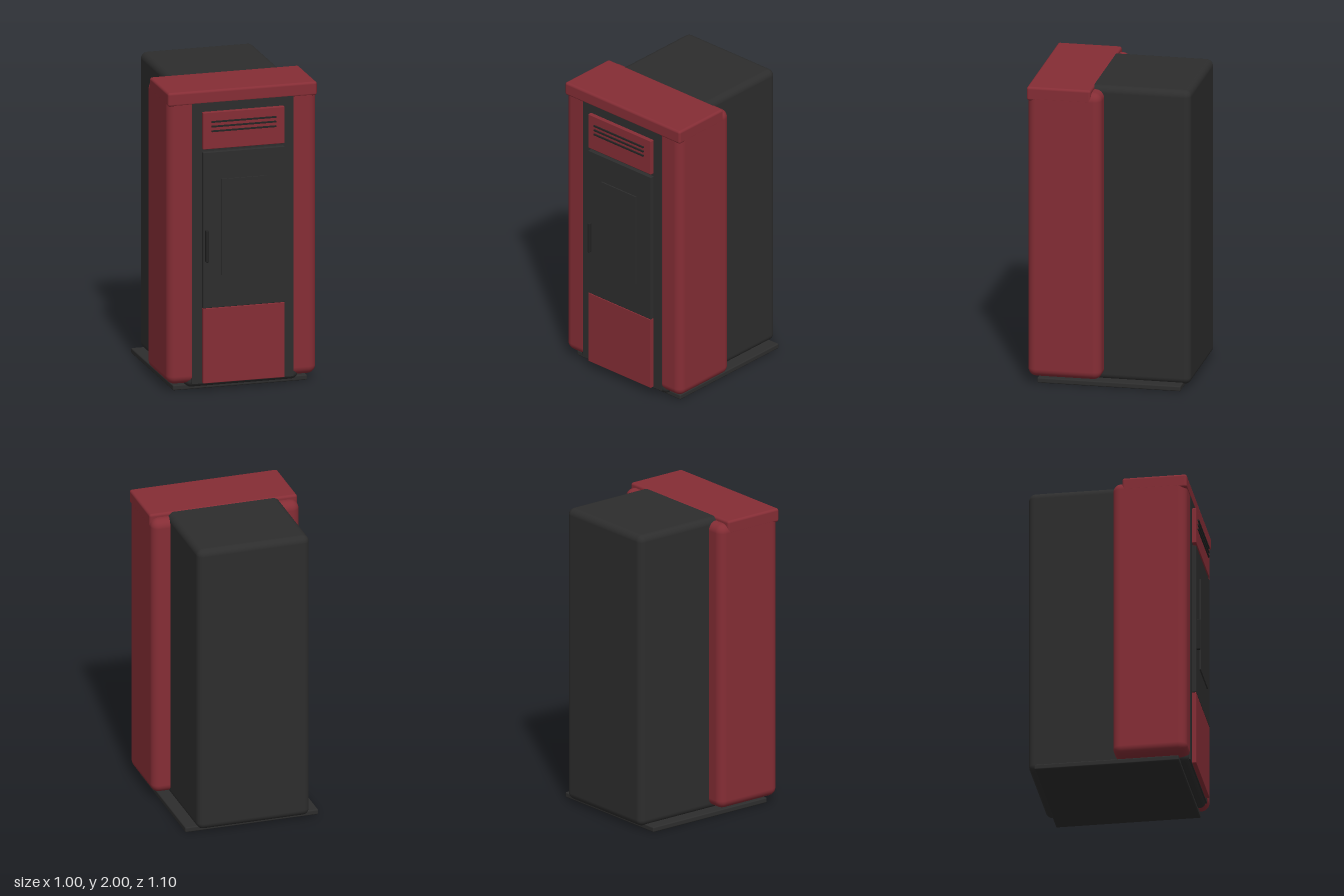
import * as THREE from 'three';
import { RoundedBoxGeometry } from 'three/addons/geometries/RoundedBoxGeometry.js';

function material(name, color) {
  const m = new THREE.MeshStandardMaterial({ color });
  m.name = name;
  return m;
}

export function createModel() {
  const stove = new THREE.Group();
  stove.name = 'pelletStove';
  const red = material('redEnamel', 0x852d35);
  const dark = material('darkSteel', 0x2d2d2d);
  const black = material('blackTrim', 0x232323);

  // Box given by its extents; r > 0 rounds the edges
  function box(name, mat, [x0, x1], [y0, y1], [z0, z1], r = 0) {
    const size = [x1 - x0, y1 - y0, z1 - z0];
    const geo = r > 0 ? new RoundedBoxGeometry(...size, 4, r) : new THREE.BoxGeometry(...size);
    const mesh = new THREE.Mesh(geo, mat);
    mesh.name = name;
    mesh.position.set((x0 + x1) / 2, (y0 + y1) / 2, (z0 + z1) / 2);
    stove.add(mesh);
    return mesh;
  }

  // Base plate and main body
  box('basePlate', dark, [-0.45, 0.45], [0, 0.035], [-0.5, 0.44], 0.008);
  box('body', dark, [-0.38, 0.38], [0.022, 1.997], [-0.55, 0.492], 0.045);

  // Red side panels wrapping the front half
  for (const [side, x] of [['left', [0.3, 0.5]], ['right', [-0.5, -0.3]]]) {
    box(side + 'SidePanel', red, x, [0.05, 1.975], [0.015, 0.497], 0.055);
  }

  // Dark frame around the door column
  box('frontFrame', dark, [-0.34, 0.34], [0.05, 1.92], [0.42, 0.499]);

  // Overhanging top cap
  box('topCap', red, [-0.5, 0.5], [1.908, 2], [0.08, 0.5], 0.016);

  // Front column: lower panel, door, vent panel
  const column = [-0.273, 0.273];
  box('lowerPanel', red, column, [0.055, 0.555], [0.49, 0.526], 0.004);
  box('door', dark, column, [0.556, 1.595], [0.49, 0.526], 0.004);
  box('ventPanel', red, column, [1.615, 1.86], [0.49, 0.526], 0.004);

  // Vent louvres
  for (let i = 0; i < 3; i++) {
    const y = 1.735 + i * 0.031;
    box('ventLouvre', black, [-0.218, 0.214], [y - 0.005, y + 0.005], [0.527, 0.536]);
  }

  // Door window and handle
  box('doorWindow', dark, [-0.15, 0.15], [0.772, 1.412], [0.527, 0.536]);
  box('doorHandle', black, [-0.26, -0.241], [0.865, 1.078], [0.52, 0.55], 0.005);

  return stove;
}
